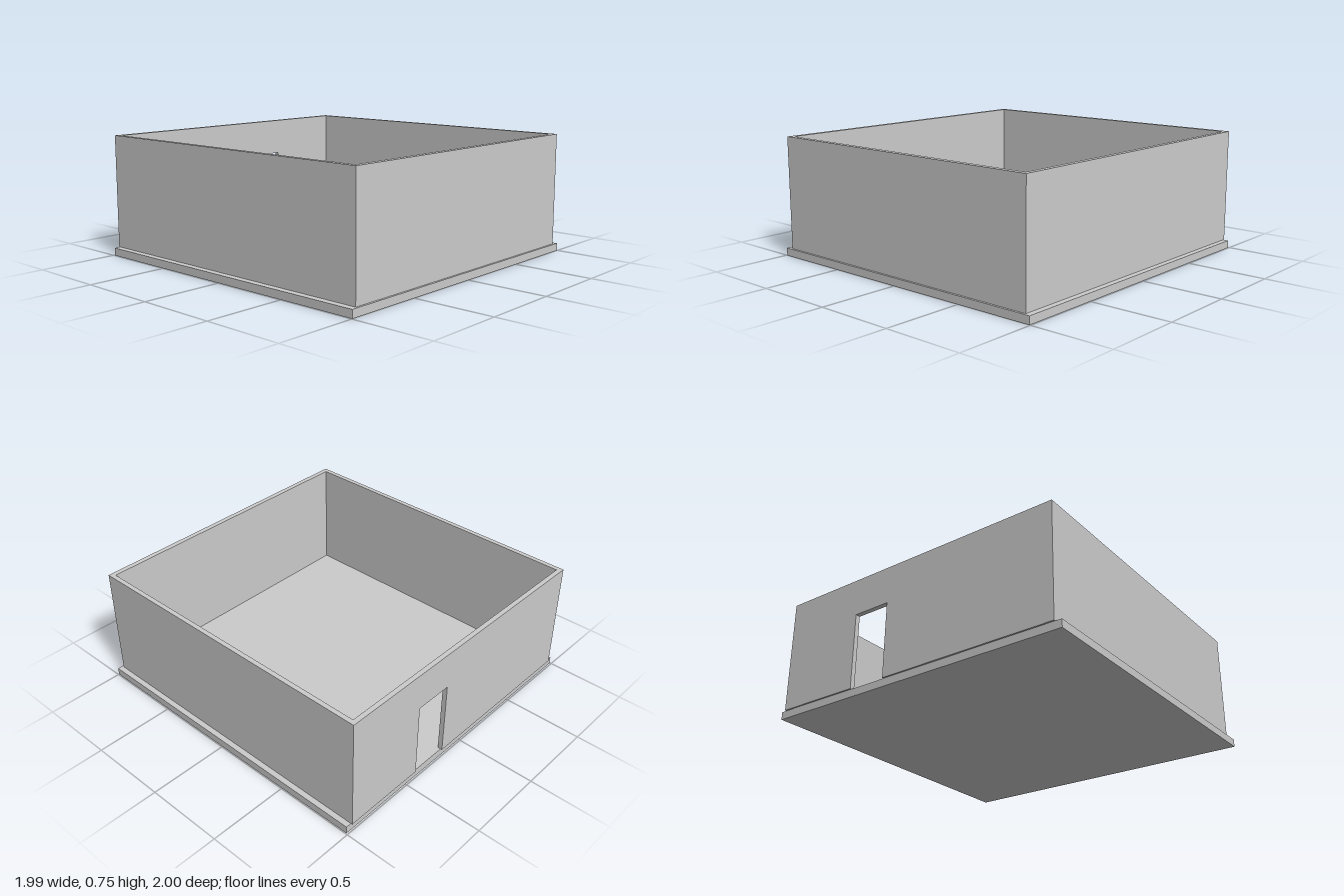
import * as THREE from 'three';

export function createModel() {
  const model = new THREE.Group();
  const material = new THREE.MeshStandardMaterial({ color: 0xcccccc, flatShading: true });

  // Wall footprint: outer and inner faces, and heights
  const outer = { x0: -0.955, x1: 0.96, z0: -1, z1: 0.987 };
  const inner = { x0: -0.925, x1: 0.931, z0: -0.97, z1: 0.955 };
  const floorY = 0.048, topY = 0.755;

  // Box given by its two opposite corners
  function addBox(name, x0, x1, y0, y1, z0, z1) {
    const mesh = new THREE.Mesh(new THREE.BoxGeometry(x1 - x0, y1 - y0, z1 - z0), material);
    mesh.position.set((x0 + x1) / 2, (y0 + y1) / 2, (z0 + z1) / 2);
    mesh.name = name;
    model.add(mesh);
  }

  // Floor slab, slightly forward of the walls
  addBox('floorSlab', -0.995, 0.995, 0, floorY, -0.99, 1);

  // Solid front and side walls
  addBox('frontWall', outer.x0, outer.x1, floorY, topY, inner.z1, outer.z1);
  addBox('leftWall', inner.x1, outer.x1, floorY, topY, inner.z0, inner.z1);
  addBox('rightWall', outer.x0, inner.x0, floorY, topY, inner.z0, inner.z1);

  // Back wall with a doorway cut up from its lower edge
  const door = { x0: 0.18, x1: 0.423, top: 0.52 };
  const outline = new THREE.Shape([
    [outer.x0, floorY], [door.x0, floorY], [door.x0, door.top], [door.x1, door.top],
    [door.x1, floorY], [outer.x1, floorY], [outer.x1, topY], [outer.x0, topY],
  ].map(([x, y]) => new THREE.Vector2(x, y)));
  const backWall = new THREE.Mesh(
    new THREE.ExtrudeGeometry(outline, { depth: inner.z0 - outer.z0, bevelEnabled: false }), material);
  backWall.position.z = outer.z0;
  backWall.name = 'backWall';
  model.add(backWall);

  return model;
}
